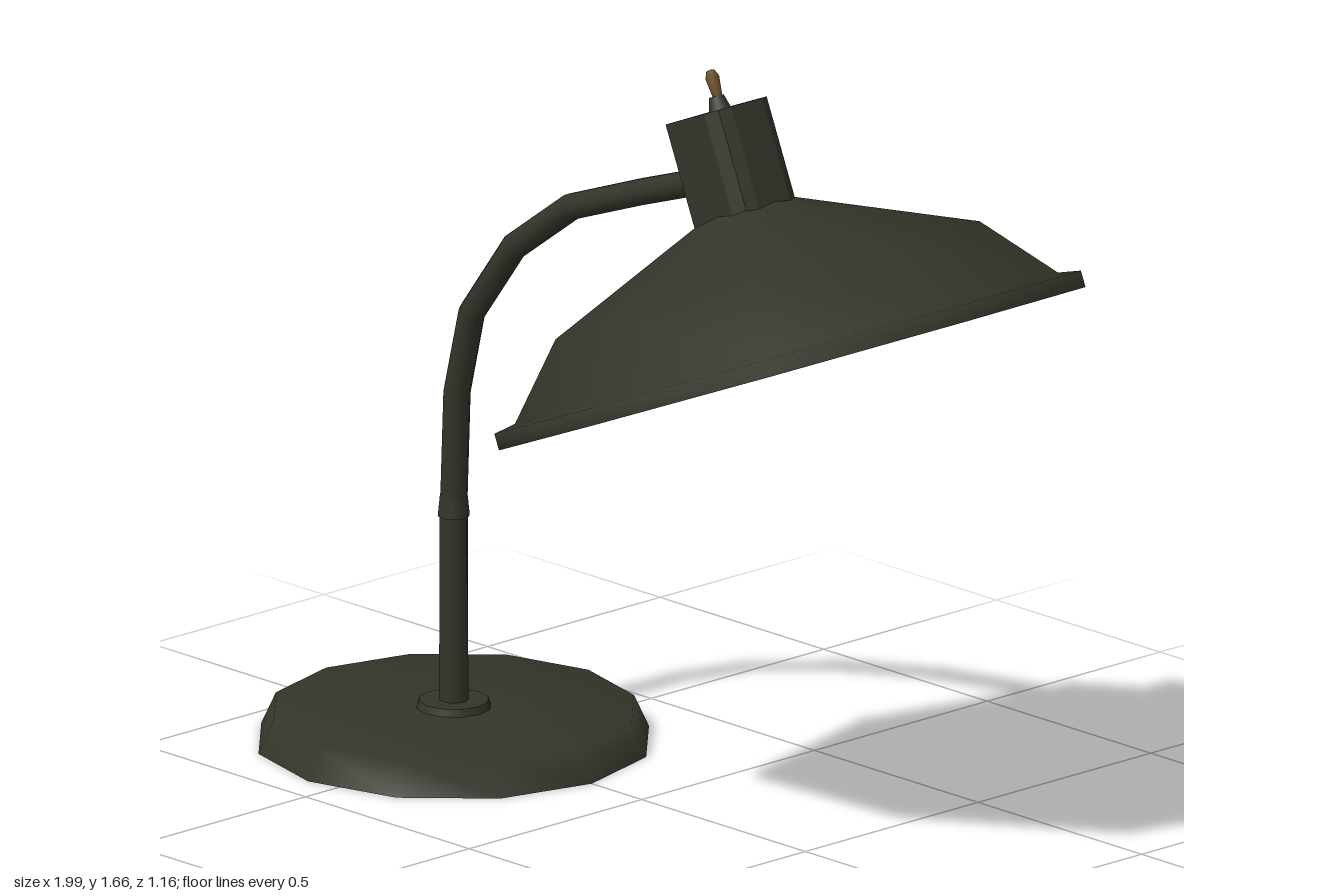
import * as THREE from 'three';
import { mergeVertices } from 'three/addons/utils/BufferGeometryUtils.js';

const material = (name, color) => {
  const m = new THREE.MeshStandardMaterial({ color });
  m.name = name;
  return m;
};

export function createModel() {
  const enamel = material('dark enamel', 0x35342a);
  const gold = material('dull gold lining', 0x4e3b10);
  const glass = material('frosted glass', 0x8a8a80);
  const brass = material('aged brass', 0x6b5228);

  const add = (parent, name, geometry, mat, x = 0, y = 0) => {
    const mesh = new THREE.Mesh(geometry, mat);
    mesh.name = name;
    mesh.position.set(x, y, 0);
    parent.add(mesh);
    return mesh;
  };

  // Turned profile from [radius, height] points; ascending points face outward
  const turn = (profile, sides, diagonal = 1) => {
    let g = new THREE.LatheGeometry(profile.map(([r, y]) => new THREE.Vector2(r, y)), sides);
    const p = g.attributes.position;
    for (let i = 0; i < p.count; i++) {
      const x = p.getX(i), z = p.getZ(i);
      // push the diagonal corners out so the octagon becomes squarer
      if (Math.min(Math.abs(x), Math.abs(z)) > 0.3 * Math.hypot(x, z)) {
        p.setX(i, x * diagonal);
        p.setZ(i, z * diagonal);
      }
    }
    g.deleteAttribute('uv');
    g.deleteAttribute('normal');
    g = mergeVertices(g, 1e-4);
    g.computeVertexNormals();
    return g;
  };

  const lamp = new THREE.Group();
  lamp.name = 'deskLamp';
  const stemX = -0.575;

  // Twelve-sided foot with its underside and collar
  add(lamp, 'base', turn([[0.422, 0], [0.39, 0.07], [0.08, 0.074], [0, 0.074]], 12), enamel, stemX);
  add(lamp, 'baseUnderside', turn([[0, 0], [0.422, 0]], 12), gold, stemX);
  add(lamp, 'collar', new THREE.CylinderGeometry(0.075, 0.082, 0.025, 12), enamel, stemX, 0.0775);

  // Upright stem and joint
  add(lamp, 'stem', new THREE.CylinderGeometry(0.03, 0.031, 0.44, 10), enamel, stemX, 0.3);
  add(lamp, 'stemJoint', new THREE.CylinderGeometry(0.029, 0.034, 0.05, 10), enamel, stemX, 0.52);

  // Bent arm, with one straight section between each pair of points
  const path = [
    [stemX, 0.52], [-0.565, 0.77], [-0.52, 0.955], [-0.39, 1.13], [-0.215, 1.258], [0, 1.34], [0.24, 1.425],
  ].map(([x, y]) => new THREE.Vector3(x, y, 0));
  const bend = new THREE.CatmullRomCurve3(path);
  bend.getUtoTmapping = (u) => u;
  add(lamp, 'arm', new THREE.TubeGeometry(bend, path.length - 1, 0.029, 10), enamel);

  // Tilted head
  const head = new THREE.Group();
  head.name = 'head';
  head.position.set(0.46, 1.055, 0);
  head.rotation.z = THREE.MathUtils.degToRad(23);
  lamp.add(head);

  const corner = 1.11;
  add(head, 'shade', turn([
    [0.578, 0], [0.578, 0.036], [0.535, 0.045], [0.418, 0.193], [0.085, 0.35], [0, 0.352],
  ], 8, corner), enamel);
  add(head, 'shadeRim', turn([[0.51, 0.003], [0.578, 0]], 8, corner), enamel);
  add(head, 'shadeLining', turn([
    [0, 0.335], [0.08, 0.33], [0.4, 0.18], [0.51, 0.003],
  ], 8, corner), gold);

  // Socket housing: square at the back, cut corners at the front
  const outline = new THREE.Shape([
    [-0.083, -0.085], [0.045, -0.085], [0.075, -0.07], [0.088, -0.045],
    [0.088, 0.045], [0.075, 0.07], [0.045, 0.085], [-0.083, 0.085],
  ].map(([x, y]) => new THREE.Vector2(x, y)));
  const housing = new THREE.ExtrudeGeometry(outline, { depth: 0.23, bevelEnabled: false });
  housing.rotateX(-Math.PI / 2);
  add(head, 'socketHousing', housing, enamel, 0, 0.336);

  // Switch on top of the housing
  add(head, 'switchBase', new THREE.CylinderGeometry(0.016, 0.024, 0.03, 8), enamel, 0, 0.58);
  add(head, 'switchLever', turn([[0.01, 0], [0.015, 0.045], [0.009, 0.06], [0, 0.062]], 8), brass, 0.004, 0.59);

  // Bulb and its socket
  add(head, 'bulbSocket', new THREE.CylinderGeometry(0.1, 0.1, 0.08, 8), enamel, 0, 0.285);
  add(head, 'bulb', turn([
    [0, 0.07], [0.1, 0.09], [0.165, 0.16], [0.175, 0.21], [0.14, 0.265], [0.08, 0.3],
  ], 8), glass);

  return lamp;
}
